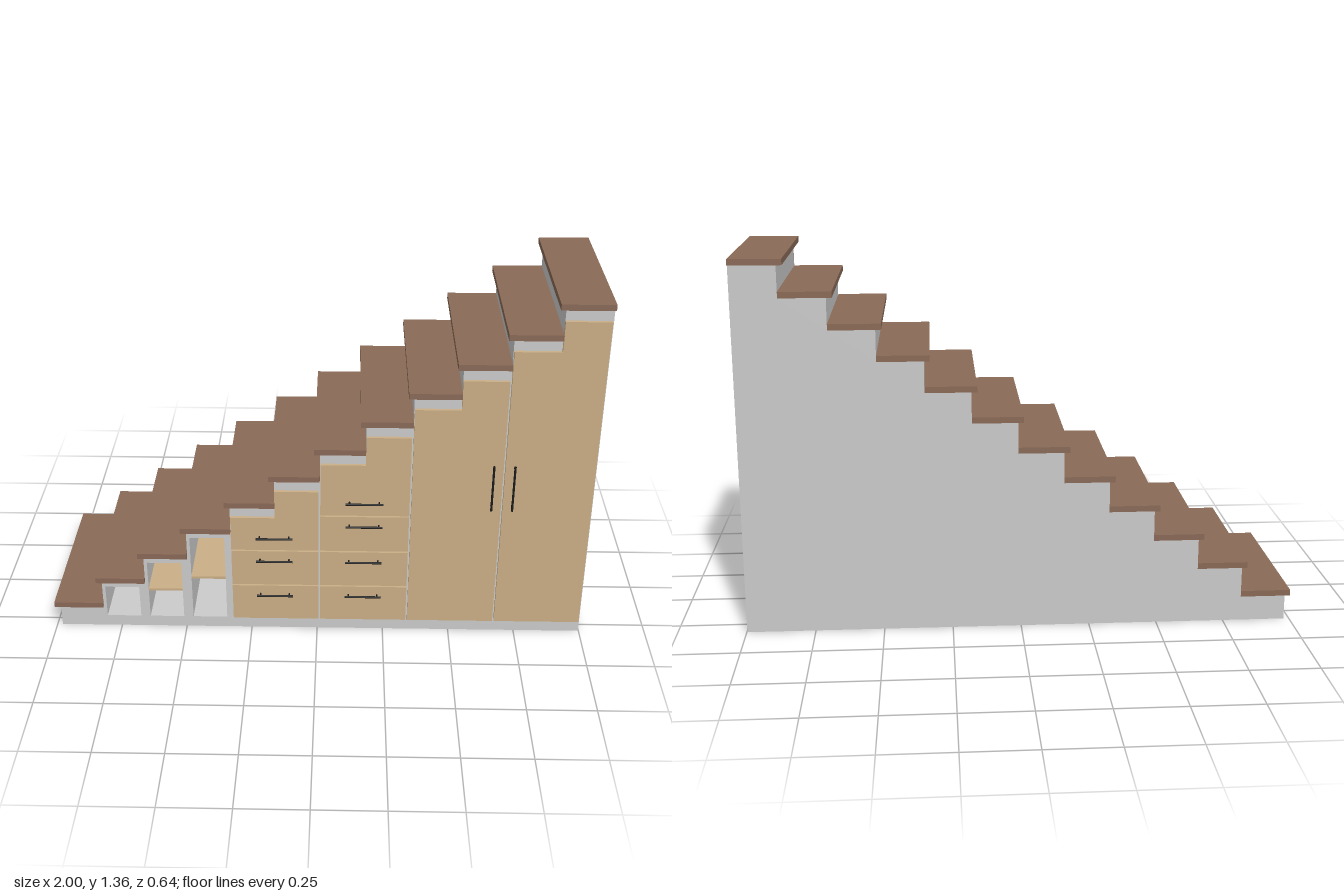
import * as THREE from 'three';

const STEPS = 12, RUN = 0.165, RISE = 1.36 / STEPS, TREAD = 0.022;
const BACK = -0.322, FRONT = 0.29, PANEL = 0.012, END = 0.998;
const riserX = i => (i < STEPS ? -0.98 + RUN * i : END);
const treadTop = i => RISE * (i + 1);

const grey = new THREE.MeshStandardMaterial({ color: 0xcccccc });
const oak = new THREE.MeshStandardMaterial({ color: 0xcbaf87 });
const walnut = new THREE.MeshStandardMaterial({ color: 0x8a6a57 });
const black = new THREE.MeshStandardMaterial({ color: 0x1c1c1c });

export function createModel() {
  const model = new THREE.Group();

  const add = (name, geometry, material, parent = model) => {
    const mesh = new THREE.Mesh(geometry, material);
    mesh.name = name;
    parent.add(mesh);
    return mesh;
  };
  const box = (name, x0, x1, y0, y1, z0, z1, material, parent) =>
    add(name, new THREE.BoxGeometry(x1 - x0, y1 - y0, z1 - z0), material, parent)
      .position.set((x0 + x1) / 2, (y0 + y1) / 2, (z0 + z1) / 2);
  const slab = (name, shape, z0, z1, material) => {
    add(name, new THREE.ExtrudeGeometry(shape, { depth: z1 - z0, bevelEnabled: false }), material).position.z = z0;
  };
  const toShape = points => new THREE.Shape(points.map(p => new THREE.Vector2(...p)));

  // Stepped carcass outline
  const outline = [[riserX(0), 0], [END, 0]];
  for (let i = STEPS - 1; i >= 0; i--) {
    const y = treadTop(i) - TREAD;
    outline.push([riserX(i + 1), y], [riserX(i), y]);
  }

  // Carcass with open cubbies, closed by a thin back panel
  const cubbies = [
    [1, 0.045, 0.178],
    [2, 0.045, 0.165], [2, 0.173, 0.29],
    [3, 0.045, 0.222], [3, 0.231, 0.404],
  ];
  const carcass = toShape(outline);
  for (const [step, y0, y1] of cubbies) {
    const x0 = riserX(step) + 0.012, x1 = x0 + 0.129;
    carcass.holes.push(new THREE.Path([[x0, y0], [x0, y1], [x1, y1], [x1, y0]].map(p => new THREE.Vector2(...p))));
  }
  slab('carcass', carcass, BACK + 0.02, FRONT, grey);
  slab('backPanel', toShape(outline), BACK, BACK + 0.02, grey);

  // Oak shelves dividing the taller cubbies
  for (const [step, y0, y1] of [[2, 0.1645, 0.1735], [3, 0.2215, 0.2315]]) {
    const x0 = riserX(step) + 0.012;
    box('cubbyShelf', x0, x0 + 0.129, y0, y1, BACK + 0.02, FRONT + 0.001, oak);
  }

  // Treads with a nosing over each riser
  for (let i = 0; i < STEPS; i++) {
    const x0 = -1 + RUN * i;
    box('tread', x0, x0 + 0.185, treadTop(i) - TREAD, treadTop(i), BACK, 0.306, walnut);
  }

  // Door and drawer fronts; stepped ones follow two stairs
  const panelTop = i => treadTop(i) - 0.065;
  const front = (name, step, y0, y1) => {
    const x0 = riserX(step) + 0.002, x1 = riserX(step + 2) - 0.004, xm = riserX(step + 1);
    const points = y1 !== undefined
      ? [[x0, y0], [x1, y0], [x1, y1], [x0, y1]]
      : [[x0, y0], [x1, y0], [x1, panelTop(step + 1)], [xm, panelTop(step + 1)], [xm, panelTop(step)], [x0, panelTop(step)]];
    slab(name, toShape(points), FRONT, FRONT + PANEL, oak);
  };
  for (const step of [4, 6]) {
    front('drawerFront', step, 0.05, 0.201);
    front('drawerFront', step, 0.207, 0.356);
  }
  front('topDrawerFront', 4, 0.362);
  front('drawerFront', 6, 0.362, 0.511);
  front('topDrawerFront', 6, 0.517);
  front('wardrobeDoor', 8, 0.05);
  front('wardrobeDoor', 10, 0.05);

  // Bar handles on two posts
  const handle = (x, y, length, vertical) => {
    const group = new THREE.Group();
    group.name = vertical ? 'doorHandle' : 'drawerHandle';
    const bar = add('handleBar', new THREE.CylinderGeometry(0.004, 0.004, length, 12), black, group);
    bar.rotation.z = Math.PI / 2;
    for (const side of [-1, 1]) {
      const post = add('handlePost', new THREE.CylinderGeometry(0.003, 0.003, 0.018, 10), black, group);
      post.rotation.x = Math.PI / 2;
      post.position.set(side * (length / 2 - 0.014), 0, -0.009);
    }
    group.position.set(x, y, 0.318);
    if (vertical) group.rotation.z = Math.PI / 2;
    model.add(group);
  };
  for (const y of [0.165, 0.32, 0.42]) handle(-0.158, y, 0.136, false);
  for (const y of [0.165, 0.32, 0.476, 0.574]) handle(0.172, y, 0.136, false);
  for (const x of [0.63, 0.705]) handle(x, 0.647, 0.186, true);

  return model;
}
